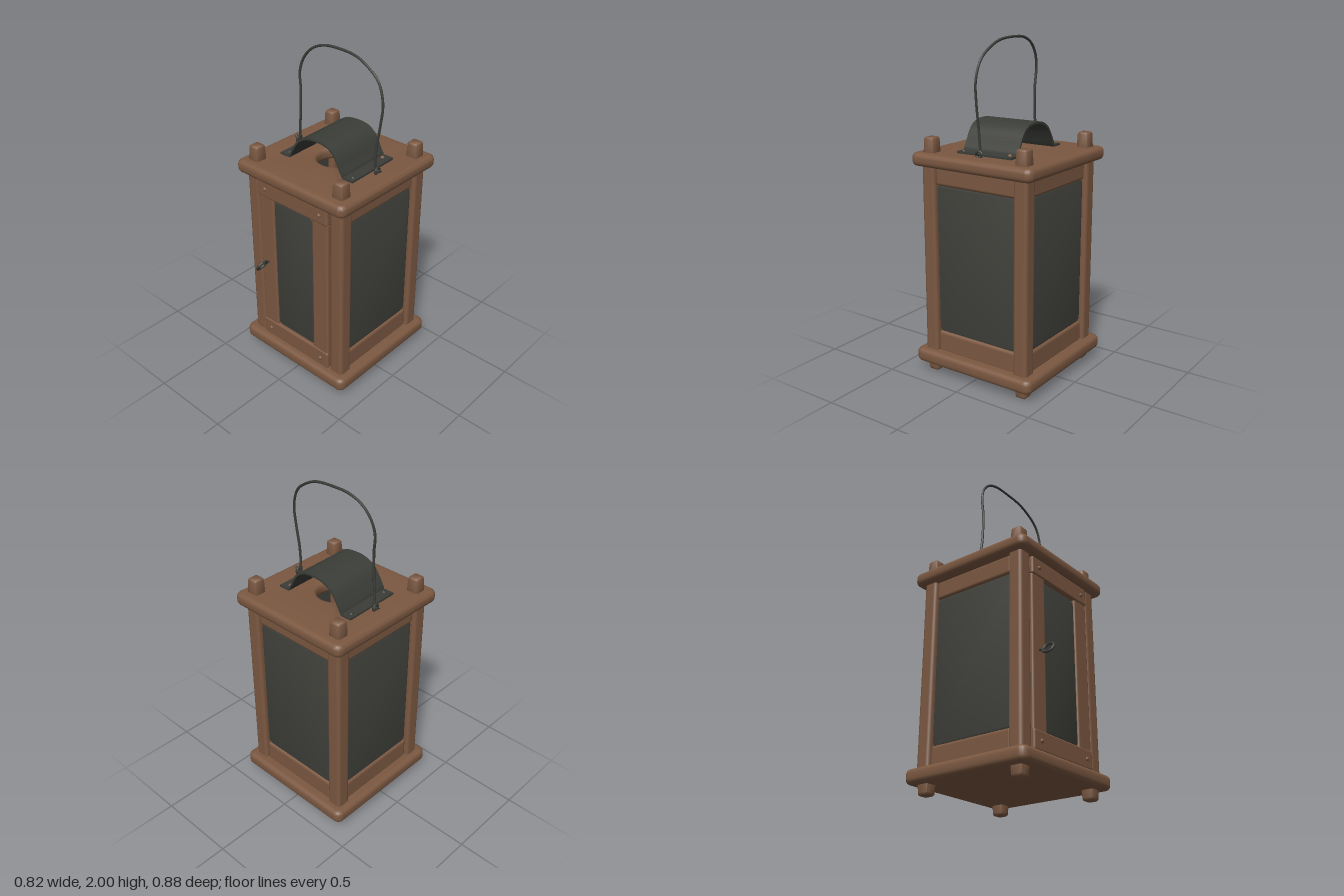
import * as THREE from 'three';
import { toCreasedNormals } from 'three/addons/utils/BufferGeometryUtils.js';
import { RoundedBoxGeometry } from 'three/addons/geometries/RoundedBoxGeometry.js';

const wood = new THREE.MeshStandardMaterial({ color: 0x7b5841 });
wood.name = 'brown wood';
const iron = new THREE.MeshStandardMaterial({ color: 0x3b3d38 });
iron.name = 'dark iron';
const glass = new THREE.MeshStandardMaterial({ color: 0x40413b });
glass.name = 'smoky glass';

const ZC = -0.0275; // middle of the lantern body

function add(parent, name, geometry, material, x = 0, y = 0, z = 0) {
  const mesh = new THREE.Mesh(geometry, material);
  mesh.name = name;
  mesh.position.set(x, y, z);
  parent.add(mesh);
  return mesh;
}

// Rounded block given by its extents
function block(parent, name, x0, x1, y0, y1, z0, z1, r = 0.012) {
  const geo = new RoundedBoxGeometry(x1 - x0, y1 - y0, z1 - z0, 3, r);
  return add(parent, name, geo, wood, (x0 + x1) / 2, (y0 + y1) / 2, (z0 + z1) / 2);
}

function roundedRect(w, h, r) {
  const s = new THREE.Shape();
  s.absarc(w / 2 - r, h / 2 - r, r, 0, Math.PI / 2);
  s.absarc(-w / 2 + r, h / 2 - r, r, Math.PI / 2, Math.PI);
  s.absarc(-w / 2 + r, -h / 2 + r, r, Math.PI, Math.PI * 1.5);
  s.absarc(w / 2 - r, -h / 2 + r, r, Math.PI * 1.5, Math.PI * 2);
  s.closePath();
  return s;
}

// Softly bevelled square board, optionally with a smoke hole
function board(thickness, holeRadius) {
  const b = 0.028;
  const shape = roundedRect(0.82 - 2 * b, 0.825 - 2 * b, 0.015);
  if (holeRadius) {
    const hole = new THREE.Path();
    hole.absarc(0, 0, holeRadius + 0.02, 0, Math.PI * 2, true);
    shape.holes.push(hole);
  }
  const geo = new THREE.ExtrudeGeometry(shape, {
    depth: thickness - 2 * b, bevelThickness: b, bevelSize: b, bevelSegments: 4, curveSegments: 12,
  });
  geo.rotateX(-Math.PI / 2).translate(0, b, 0);
  return toCreasedNormals(geo, 0.6);
}

// Pane facing +z with a slightly rounded rim
function pane(w, h) {
  const geo = new THREE.ExtrudeGeometry(roundedRect(w - 0.016, h - 0.016, 0.02), {
    depth: 0.01, bevelThickness: 0.008, bevelSize: 0.008, bevelSegments: 2, curveSegments: 4,
  });
  return toCreasedNormals(geo.translate(0, 0, -0.018), 0.5);
}

// Peg end of a post, narrowing away from the board
function peg(height, direction) {
  const geo = new RoundedBoxGeometry(0.08, height, 0.08, 3, 0.015);
  const p = geo.attributes.position;
  for (let i = 0; i < p.count; i++) {
    const k = 1 - 0.14 * (0.5 + direction * p.getY(i) / height);
    p.setX(i, p.getX(i) * k);
    p.setZ(i, p.getZ(i) * k);
  }
  geo.computeVertexNormals();
  return toCreasedNormals(geo, 0.8);
}

function nail(parent, name, material, x, y, z, upright) {
  const geo = new THREE.SphereGeometry(0.013, 10, 5, 0, Math.PI * 2, 0, Math.PI / 2);
  if (!upright) geo.rotateX(Math.PI / 2);
  add(parent, name, geo, material, x, y, z);
}

function tube(points, radius, segments) {
  const curve = new THREE.CatmullRomCurve3(points.map((p) => new THREE.Vector3(...p)));
  return new THREE.TubeGeometry(curve, segments, radius, 8);
}

// Bent sheet: a profile curve thickened along its normals
function hoodGeometry(depth) {
  const arch = [[-0.2, 1.358], [-0.17, 1.415], [-0.125, 1.478], [-0.06, 1.513], [0.02, 1.52],
    [0.09, 1.507], [0.14, 1.465], [0.175, 1.4], [0.2, 1.358]];
  const curve = new THREE.SplineCurve(arch.map((p) => new THREE.Vector2(...p)));
  const line = [new THREE.Vector2(-0.268, 1.358), ...curve.getPoints(28), new THREE.Vector2(0.268, 1.358)];
  const offset = (d) => line.map((p, i) => {
    const a = line[Math.max(i - 1, 0)], b = line[Math.min(i + 1, line.length - 1)];
    const t = b.clone().sub(a).normalize();
    return new THREE.Vector2(p.x - t.y * d, p.y + t.x * d);
  });
  const shape = new THREE.Shape([...offset(-0.006), ...offset(0.006).reverse()]);
  const geo = new THREE.ExtrudeGeometry(shape, { depth, bevelEnabled: false });
  return toCreasedNormals(geo.translate(0, 0, -depth / 2), 0.6);
}

export function createModel() {
  const model = new THREE.Group();
  model.name = 'lantern';

  // Base and roof boards
  add(model, 'baseBoard', board(0.085), wood, 0, 0.06, ZC);
  add(model, 'roofBoard', board(0.078, 0.12), wood, 0, 1.274, ZC);

  // Corner posts with feet below and pegs above
  for (const x of [-0.32, 0.32]) {
    for (const z of [ZC - 0.3175, ZC + 0.3175]) {
      block(model, 'cornerPost', x - 0.046, x + 0.046, 0.12, 1.3, z - 0.046, z + 0.046, 0.022);
      add(model, 'foot', peg(0.09, -1), wood, x, 0.045, z);
      add(model, 'postPeg', peg(0.12, 1), wood, x, 1.38, z);
    }
  }

  // Side and back walls: two rails and a large pane each
  for (const [name, angle] of [['left', Math.PI / 2], ['right', -Math.PI / 2], ['back', Math.PI]]) {
    const wall = new THREE.Group();
    wall.name = name + 'Wall';
    wall.position.z = ZC;
    wall.rotation.y = angle;
    block(wall, 'lowerRail', -0.28, 0.28, 0.13, 0.268, 0.29, 0.345, 0.02);
    block(wall, 'upperRail', -0.28, 0.28, 1.162, 1.285, 0.29, 0.345, 0.02);
    add(wall, 'windowPane', pane(0.55, 0.9), glass, 0, 0.715, 0.335);
    model.add(wall);
  }

  // Front door with a narrow pane
  const door = new THREE.Group();
  door.name = 'door';
  block(door, 'lowerDoorRail', -0.272, 0.268, 0.148, 0.262, 0.29, 0.348);
  block(door, 'upperDoorRail', -0.272, 0.268, 1.16, 1.272, 0.29, 0.348);
  block(door, 'doorStile', -0.27, -0.152, 0.25, 1.17, 0.285, 0.342);
  block(door, 'doorStile', 0.148, 0.268, 0.25, 1.17, 0.285, 0.342);
  add(door, 'doorPane', pane(0.306, 0.89), glass, -0.002, 0.708, 0.332);
  for (const x of [-0.21, 0.21]) {
    for (const y of [0.205, 1.215]) nail(door, 'doorNail', wood, x, y, 0.346, false);
  }
  model.add(door);

  // Door pull ring on a short pin
  const ring = add(model, 'pullRing', new THREE.TorusGeometry(0.034, 0.008, 8, 24), iron, -0.212, 0.712, 0.4);
  ring.geometry.rotateY(Math.PI / 2);
  ring.rotation.z = -0.5;
  const pin = add(model, 'pullPin', new THREE.CylinderGeometry(0.007, 0.007, 0.04, 8), iron, -0.212, 0.712, 0.352);
  pin.rotation.x = Math.PI / 2;

  // Bent metal hood over the smoke hole
  const hood = new THREE.Group();
  hood.name = 'hood';
  hood.position.z = ZC;
  hood.rotation.y = 0.03;
  add(hood, 'hoodSheet', hoodGeometry(0.365), iron);
  for (const [x, z, m] of [[-0.24, -0.145, iron], [0.22, -0.145, wood], [-0.225, 0.15, iron], [0.245, 0.15, iron]]) {
    nail(hood, 'hoodNail', m, x, 1.362, z, true);
  }
  model.add(hood);

  // Staples holding the wire handle
  for (const x of [-0.3, 0.3]) {
    const staple = new THREE.TorusGeometry(0.019, 0.007, 8, 16).rotateY(Math.PI / 2);
    add(model, 'handleStaple', staple, iron, x, 1.368, -0.03);
  }

  // Hand-bent wire handle, hooked outward at both ends
  add(model, 'handle', tube([
    [-0.328, 1.385, -0.03], [-0.31, 1.366, -0.03], [-0.287, 1.375, -0.027], [-0.284, 1.43, -0.022],
    [-0.275, 1.52, -0.02], [-0.27, 1.69, -0.022], [-0.278, 1.8, -0.026], [-0.252, 1.885, -0.034],
    [-0.195, 1.95, -0.041], [-0.11, 1.986, -0.047], [0, 1.993, -0.05], [0.12, 1.982, -0.047],
    [0.2, 1.95, -0.042], [0.285, 1.885, -0.036], [0.324, 1.775, -0.03], [0.315, 1.65, -0.026],
    [0.295, 1.52, -0.024], [0.288, 1.43, -0.026], [0.288, 1.375, -0.029], [0.31, 1.366, -0.03],
    [0.33, 1.385, -0.03],
  ], 0.0075, 120), iron);

  return model;
}
